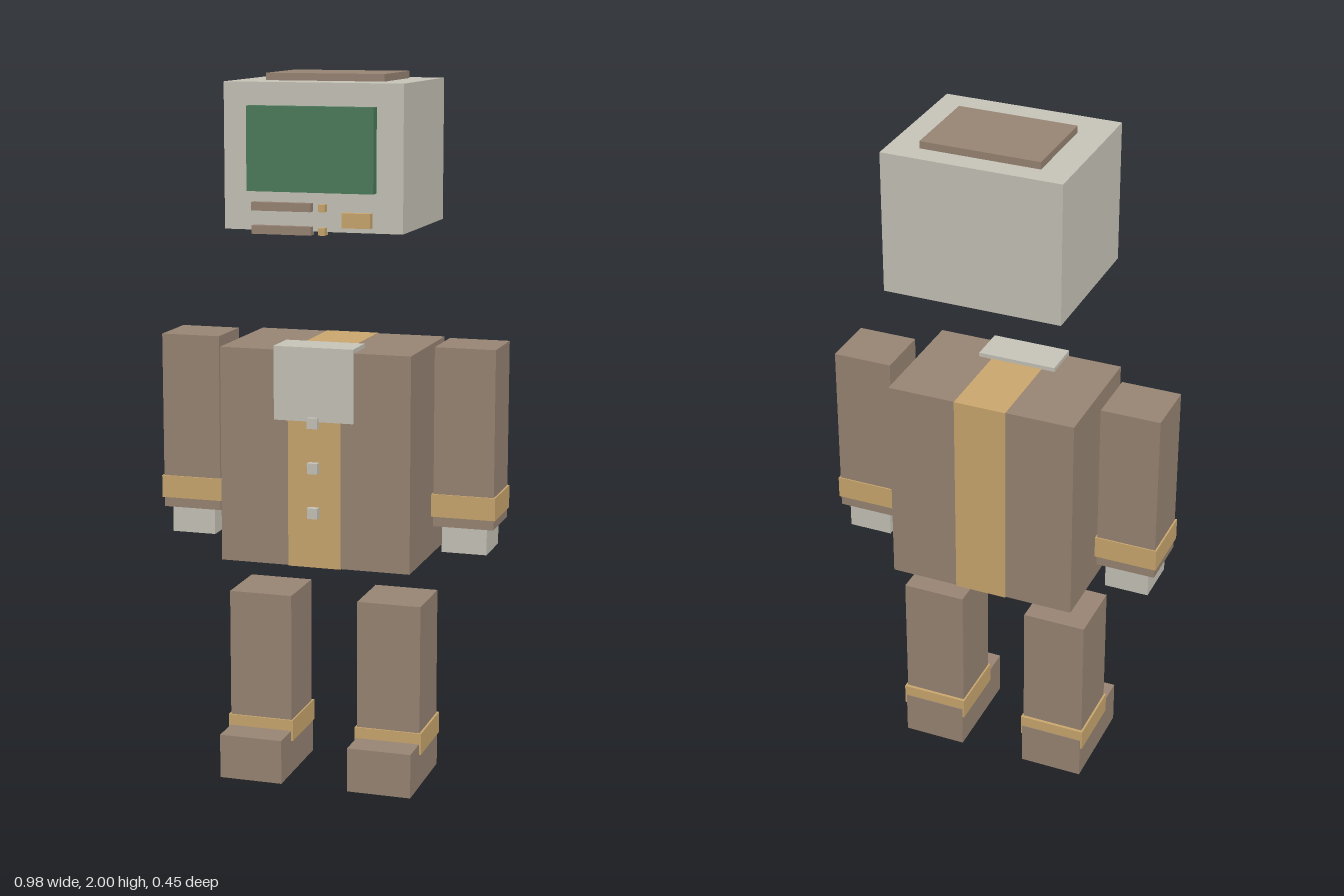
import * as THREE from 'three';

const material = (color) => new THREE.MeshStandardMaterial({ color, flatShading: true });

export function createModel() {
  const brown = material(0x9a8675);
  const gold = material(0xcca970);
  const cream = material(0xc9c6ba);
  const green = material(0x4c7c5c);

  const model = new THREE.Group();
  model.name = 'blockFigure';

  function part(name) {
    const group = new THREE.Group();
    group.name = name;
    model.add(group);
    return group;
  }

  // Box between two limits on each axis
  function box(parent, name, mat, [x0, x1], [y0, y1], [z0, z1]) {
    const mesh = new THREE.Mesh(new THREE.BoxGeometry(x1 - x0, y1 - y0, z1 - z0), mat);
    mesh.position.set((x0 + x1) / 2, (y0 + y1) / 2, (z0 + z1) / 2);
    mesh.name = name;
    parent.add(mesh);
  }

  // Monitor head
  const head = part('head');
  box(head, 'monitorCase', cream, [-0.252, 0.252], [1.583, 1.98], [-0.225, 0.195]);
  box(head, 'topPlate', brown, [-0.168, 0.168], [1.97, 2], [-0.163, 0.087]);
  box(head, 'screen', green, [-0.178, 0.178], [1.69, 1.918], [0.18, 0.226]);
  box(head, 'driveButton', gold, [0.087, 0.167], [1.597, 1.637], [0.18, 0.217]);
  for (const y of [1.574, 1.637]) {
    box(head, 'slot', brown, [-0.168, 0], [y, y + 0.023], [0.185, 0.217]);
    box(head, 'indicator', gold, [0.022, 0.04], [y + 0.001, y + 0.021], [0.185, 0.217]);
  }

  // Torso with a centre band, bib and buttons
  const body = part('body');
  box(body, 'torso', brown, [-0.274, 0.274], [0.646, 1.254], [-0.174, 0.186]);
  box(body, 'centreBand', gold, [-0.076, 0.076], [0.645, 1.255], [-0.177, 0.189]);
  box(body, 'bib', cream, [-0.114, 0.114], [1.06, 1.266], [0.085, 0.196]);
  for (const y of [0.803, 0.93, 1.057]) {
    box(body, 'button', cream, [-0.015, 0.015], [y - 0.015, y + 0.015], [0.178, 0.208]);
  }

  // Limbs, mirrored on both sides
  for (const side of [1, -1]) {
    const label = side > 0 ? 'left' : 'right';
    const span = (a, b) => (side > 0 ? [a, b] : [-b, -a]);

    const arm = part(label + 'Arm');
    box(arm, 'sleeve', brown, span(0.314, 0.485), [0.763, 1.266], [-0.08, 0.087]);
    box(arm, 'sleeveCuff', gold, span(0.309, 0.49), [0.791, 0.855], [-0.084, 0.092]);
    box(arm, 'hand', cream, span(0.336, 0.464), [0.688, 0.78], [-0.066, 0.075]);

    const leg = part(label + 'Leg');
    box(leg, 'trouser', brown, span(0.098, 0.283), [0.05, 0.53], [-0.087, 0.1]);
    box(leg, 'trouserCuff', gold, span(0.093, 0.289), [0.098, 0.16], [-0.096, 0.105]);
    box(leg, 'shoe', brown, span(0.098, 0.283), [0, 0.128], [-0.098, 0.195]);
  }

  return model;
}
